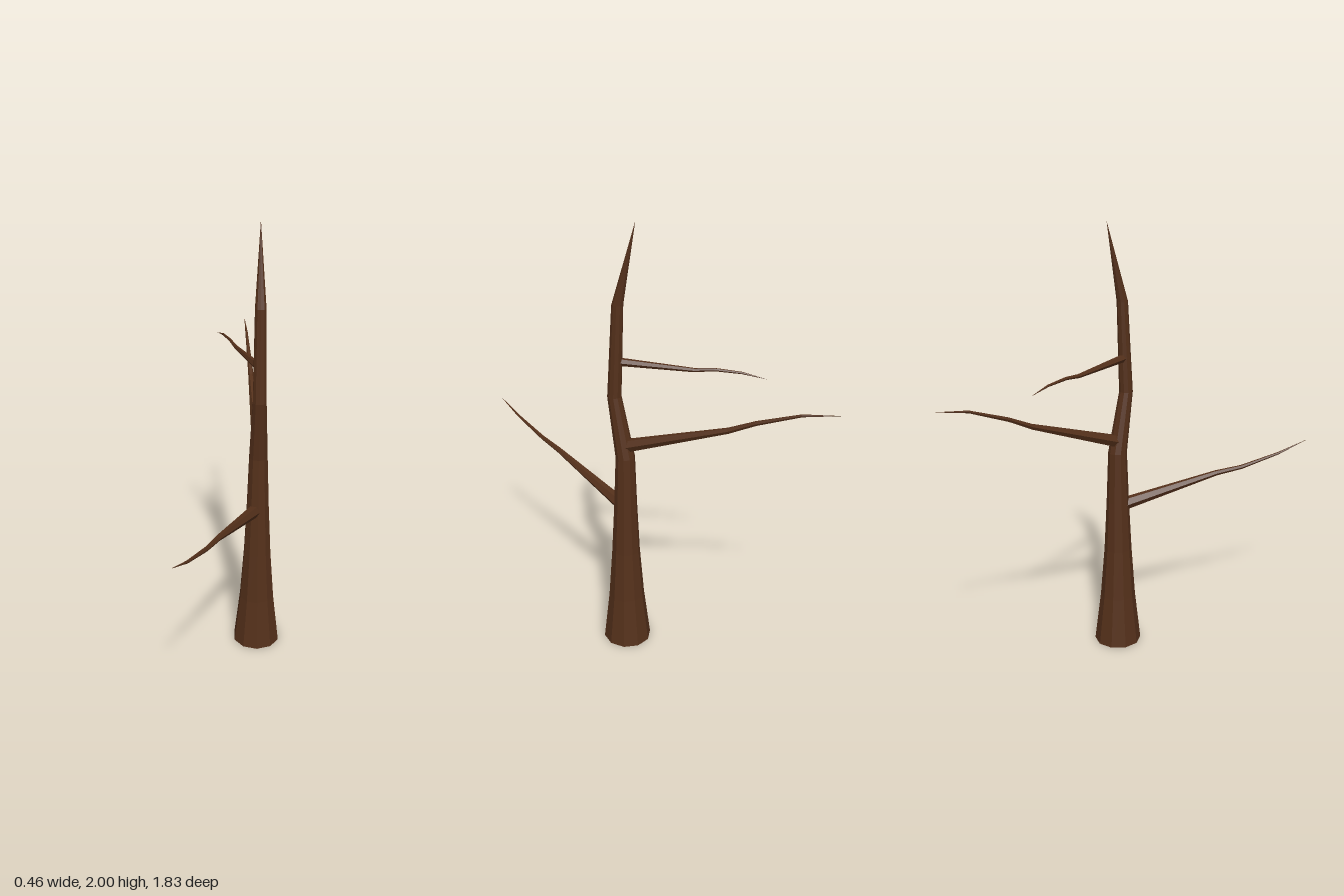
import * as THREE from 'three';

const bark = new THREE.MeshStandardMaterial({ color: 0x54301a, flatShading: true, roughness: 1 });

// Tapered limb through rings of [x, y, z, radius], closed at the base, pointed at the tip.
// u and v span each ring; u x v points along the limb.
function limb(name, rings, u, v, sides) {
  const pos = [];
  const corner = ([x, y, z, r], j) => {
    const a = (j / sides) * Math.PI * 2;
    return new THREE.Vector3(x, y, z)
      .addScaledVector(u, Math.cos(a) * r)
      .addScaledVector(v, Math.sin(a) * r);
  };
  const tri = (...pts) => pts.forEach((p) => pos.push(p.x, p.y, p.z));

  for (let j = 0; j < sides; j++) {
    tri(new THREE.Vector3(...rings[0].slice(0, 3)), corner(rings[0], j + 1), corner(rings[0], j));
    for (let i = 0; i < rings.length - 1; i++) {
      const a = corner(rings[i], j), b = corner(rings[i], j + 1);
      const c = corner(rings[i + 1], j + 1), d = corner(rings[i + 1], j);
      tri(a, b, c);
      if (rings[i + 1][3] > 0) tri(a, c, d);
    }
  }
  const geo = new THREE.BufferGeometry();
  geo.setAttribute('position', new THREE.Float32BufferAttribute(pos, 3));
  geo.computeVertexNormals();
  const mesh = new THREE.Mesh(geo, bark);
  mesh.name = name;
  return mesh;
}

// Branch whose rings stand square to its overall direction
function branch(name, rings) {
  const start = new THREE.Vector3(...rings[0].slice(0, 3));
  const dir = new THREE.Vector3(...rings[rings.length - 1].slice(0, 3)).sub(start).normalize();
  const u = new THREE.Vector3(0, 1, 0).cross(dir).normalize();
  const v = dir.clone().cross(u);
  return limb(name, rings, u, v, 6);
}

export function createModel() {
  const tree = new THREE.Group();
  tree.name = 'bareTree';

  // Bent trunk with a flared foot and a pointed top
  tree.add(limb('trunk', [
    [0.127, 0, 0.013, 0.11],
    [0.127, 0.24, 0.015, 0.082],
    [0.127, 0.48, 0.017, 0.064],
    [0.127, 0.72, 0.017, 0.052],
    [0.127, 0.96, 0.017, 0.043],
    [0.127, 1.24, 0.067, 0.031],
    [0.127, 1.65, 0.048, 0.025],
    [0.127, 2, -0.035, 0],
  ], new THREE.Vector3(0, 0, 1), new THREE.Vector3(1, 0, 0), 10));

  // Low branch reaching forward
  tree.add(branch('lowBranch', [
    [0.12, 0.698, 0.025, 0.031],
    [-0.055, 0.805, 0.47, 0.013],
    [-0.105, 0.822, 0.59, 0.01],
    [-0.175, 0.872, 0.77, 0.006],
    [-0.232, 0.93, 0.915, 0],
  ]));

  // Middle branch reaching back
  tree.add(branch('middleBranch', [
    [0.127, 1.015, 0.01, 0.03],
    [0.11, 1.18, -0.45, 0.013],
    [0.105, 1.235, -0.565, 0.01],
    [0.098, 1.305, -0.75, 0.006],
    [0.092, 1.335, -0.912, 0],
  ]));

  // Thin upper branch reaching back
  tree.add(branch('upperBranch', [
    [0.12, 1.398, 0.05, 0.018],
    [0.032, 1.384, -0.26, 0.009],
    [0.008, 1.392, -0.34, 0.007],
    [-0.022, 1.386, -0.45, 0.005],
    [-0.05, 1.365, -0.552, 0],
  ]));

  return tree;
}
